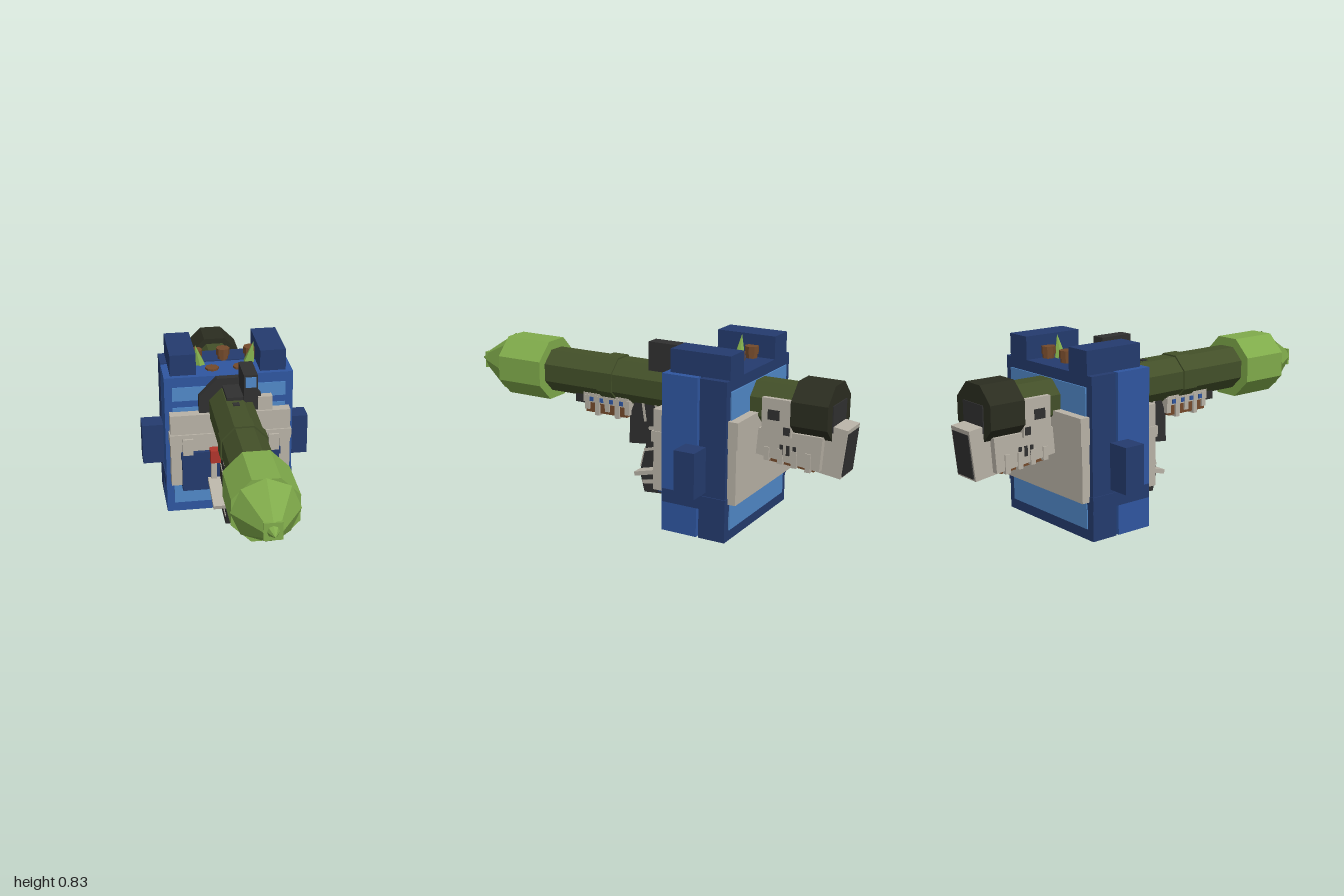
import * as THREE from 'three';

const mat = (name, color) => Object.assign(new THREE.MeshStandardMaterial({ color }), { name });
const BLUE = mat('blue', 0x2f56a0), NAVY = mat('navy', 0x243b6e), SKY = mat('sky blue', 0x5088c8);
const GREY = mat('warm grey', 0xb8b2a6), BLACK = mat('charcoal', 0x303030), OLIVE = mat('olive', 0x435029);
const LIME = mat('leaf green', 0x80ab4b), BROWN = mat('brown', 0x744a2b), RED = mat('red', 0xb0352c);
const CAP = mat('dark olive', 0x2b2d20);

export function createModel() {
  const root = new THREE.Group();
  const AXIS = 0.574; // height of the launcher axis

  const add = (name, geo, material, parent = root) => {
    const g = geo.index ? geo.toNonIndexed() : geo;
    g.computeVertexNormals();
    const mesh = new THREE.Mesh(g, material);
    mesh.name = name;
    parent.add(mesh);
    return mesh;
  };
  // Box given by its limits on each axis
  const box = (name, m, x0, x1, y0, y1, z0, z1) => {
    const mesh = add(name, new THREE.BoxGeometry(x1 - x0, y1 - y0, Math.abs(z1 - z0)), m);
    mesh.position.set((x0 + x1) / 2, (y0 + y1) / 2, (z0 + z1) / 2);
    return mesh;
  };
  // The same box on both sides
  const pair = (name, m, x0, x1, ...r) => {
    box(name + 'Left', m, x0, x1, ...r);
    box(name + 'Right', m, -x1, -x0, ...r);
  };
  // Side outline of [z, y] points, extruded across x
  const side = (name, m, halfWidth, pts) => {
    const shape = new THREE.Shape(pts.map(([z, y]) => new THREE.Vector2(z, y)));
    const geo = new THREE.ExtrudeGeometry(shape, { depth: halfWidth * 2, bevelEnabled: false });
    geo.translate(0, 0, -halfWidth).rotateY(-Math.PI / 2);
    return add(name, geo, m);
  };
  // Thin slanted bar between two [z, y] points
  const bar = (name, m, x0, x1, [za, ya], [zb, yb], t) => {
    const mesh = add(name, new THREE.BoxGeometry(x1 - x0, t, Math.hypot(zb - za, yb - ya)), m);
    mesh.position.set((x0 + x1) / 2, (ya + yb) / 2, (za + zb) / 2);
    mesh.rotation.x = Math.atan2(ya - yb, zb - za);
    return mesh;
  };
  // Octagonal section along the launcher axis, from z0 (radius r0) to z1 (radius r1)
  const tube = (name, m, z0, z1, r0, r1, turn = Math.PI / 8, open = false) => {
    const geo = new THREE.CylinderGeometry(r1, r0, z1 - z0, 8, 1, open);
    geo.rotateY(turn).rotateX(Math.PI / 2);
    const mesh = add(name, geo, m);
    mesh.position.set(0, AXIS, (z0 + z1) / 2);
    return mesh;
  };

  // Launcher barrel and nose
  tube('barrel', OLIVE, -0.9, 0.56, 0.109, 0.109);
  tube('barrelRing', OLIVE, 0.16, 0.24, 0.117, 0.117);
  tube('noseBase', LIME, 0.545, 0.79, 0.155, 0.155);
  tube('noseCone', LIME, 0.79, 0.955, 0.148, 0.042, 0);
  tube('noseTip', LIME, 0.95, 1.0, 0.03, 0.003, 0);
  pair('noseTipBlock', LIME, 0, 0.04, AXIS - 0.04, AXIS + 0.04, 0.945, 0.957);
  box('barrelNotch', BLACK, -0.015, 0.015, 0.672, 0.68, -0.02, 0.01);

  // Rear cap
  tube('rearCap', CAP, -0.93, -0.76, 0.138, 0.138);
  box('capOpening', BLACK, -0.075, 0.075, 0.5, 0.62, -0.935, -0.928);

  // Rear grey housing
  box('rearHousing', GREY, -0.115, 0.115, 0.46, 0.625, -0.76, -0.62);
  side('rearHousingLower', GREY, 0.1, [[-0.6, 0.48], [-0.59, 0.36], [-0.89, 0.325], [-0.9, 0.48]]);
  side('rearHousingBase', BROWN, 0.085, [[-0.63, 0.37], [-0.63, 0.335], [-0.86, 0.315], [-0.86, 0.37]]);
  for (let i = 0; i < 4; i++) {
    const z = -0.63 - i * 0.065;
    box('rearRib', GREY, -0.106, 0.106, 0.34 - i * 0.008, 0.4, z - 0.025, z);
  }
  for (const s of [-1, 1]) {
    const plate = (x, y0, y1, z0, z1) =>
      box('housingVent', BLACK, s * x - 0.003, s * x + 0.003, y0, y1, z0, z1);
    plate(0.115, 0.53, 0.575, -0.705, -0.65);
    plate(0.115, 0.47, 0.505, -0.755, -0.725);
    for (let i = 0; i < 3; i++) plate(0.101, 0.375, 0.42, -0.72 - i * 0.03, -0.705 - i * 0.03);
  }
  side('exhaustBox', GREY, 0.07, [[-0.885, 0.535], [-0.865, 0.315], [-0.975, 0.3], [-1, 0.52]]);
  bar('exhaustPlate', BLACK, -0.06, 0.06, [-0.997, 0.502], [-0.978, 0.31], 0.008);

  // Front hand guard
  box('guardCore', BROWN, -0.065, 0.065, 0.405, 0.48, 0.1, 0.33);
  box('guardTop', GREY, -0.072, 0.072, 0.455, 0.5, 0.09, 0.34);
  box('guardNose', BLACK, -0.05, 0.05, 0.44, 0.49, 0.33, 0.4);
  for (let i = 0; i < 5; i++) {
    const z = 0.33 - i * 0.056;
    box('guardRib', GREY, -0.075, 0.075, 0.42 - (i % 2) * 0.025, 0.49, z - 0.024, z);
    if (i < 4) pair('guardStud', BLUE, 0.071, 0.077, 0.462, 0.482, z - 0.046, z - 0.027);
  }

  // Grip
  side('gripUpper', BLACK, 0.052, [[0.09, 0.42], [0.06, 0.5], [-0.17, 0.5], [-0.16, 0.39],
    [-0.02, 0.37], [0, 0.29], [0.095, 0.28]]);
  side('gripLower', BLACK, 0.055, [[-0.02, 0.375], [-0.16, 0.4], [-0.17, 0.235], [-0.165, 0.065],
    [0.01, 0.05], [0.035, 0.145]]);
  bar('gripFrontPlate', GREY, -0.055, 0.055, [0.03, 0.175], [0.012, 0.25], 0.009);
  bar('gripBand', GREY, -0.058, 0.058, [0.01, 0.26], [-0.165, 0.31], 0.014);
  bar('gripBand', GREY, -0.058, 0.058, [0.02, 0.1], [-0.165, 0.13], 0.018);
  bar('gripBand', GREY, -0.058, 0.058, [-0.015, 0.37], [-0.165, 0.395], 0.014);
  for (const z of [0.02, -0.05, -0.12]) bar('gripRib', GREY, -0.056, 0.056, [z, 0.5], [z - 0.015, 0.4], 0.012);
  for (const s of [-1, 1]) {
    const c = s * 0.085;
    bar('gripWing', GREY, c - 0.03, c + 0.03, [0.03, 0.155], [-0.17, 0.205], 0.02);
  }
  pair('wingStrut', GREY, 0.072, 0.1, 0.19, 0.31, -0.19, -0.155);
  pair('redCatch', RED, 0.055, 0.105, 0.31, 0.375, -0.18, -0.13);

  // Sight and collar
  box('sight', BLACK, 0.042, 0.107, 0.665, 0.8, -0.21, -0.045);
  box('sightLens', SKY, 0.05, 0.1, 0.74, 0.79, -0.046, -0.039);
  box('sightRail', BLACK, -0.037, 0.045, 0.66, 0.69, -0.24, -0.05);
  tube('collar', BLACK, -0.236, -0.2, 0.162, 0.162);

  // Pack shells
  box('packFront', BLUE, -0.312, 0.312, 0, 0.725, -0.41, -0.235);
  box('packCore', NAVY, -0.29, 0.29, 0.03, 0.71, -0.43, -0.4);
  box('packBack', NAVY, -0.312, 0.312, 0, 0.725, -0.55, -0.422);
  box('packBand', NAVY, -0.317, 0.317, 0.138, 0.2, -0.553, -0.24);
  box('frontPanelLower', SKY, -0.275, 0.275, 0.05, 0.57, -0.237, -0.23);
  box('frontPanelUpper', SKY, -0.275, 0.275, 0.605, 0.675, -0.237, -0.23);
  box('backPanel', SKY, -0.275, 0.275, 0.05, 0.675, -0.556, -0.548);
  pair('topBlock', NAVY, 0.155, 0.28, 0.72, 0.83, -0.55, -0.26);
  pair('sidePod', NAVY, 0.31, 0.417, 0.217, 0.425, -0.455, -0.355);

  // Grey padding, front and back
  box('frontPadUpper', GREY, -0.292, 0.292, 0.45, 0.55, -0.235, -0.18);
  box('frontPadMiddle', GREY, -0.297, 0.297, 0.4, 0.45, -0.235, -0.172);
  pair('frontPadSide', GREY, 0.24, 0.292, 0.175, 0.4, -0.235, -0.18);
  box('frontPadInner', GREY, -0.25, 0.25, 0.34, 0.41, -0.235, -0.185);
  box('frontPadTab', GREY, 0.135, 0.205, 0.54, 0.62, -0.235, -0.19);
  box('backPadUpper', GREY, -0.295, 0.295, 0.43, 0.55, -0.597, -0.55);
  box('backPadLower', GREY, -0.292, 0.292, 0.175, 0.43, -0.59, -0.55);

  // Front pocket with straps
  box('pocket', NAVY, -0.238, 0.238, 0.145, 0.35, -0.235, -0.172);
  box('pocketFlap', NAVY, -0.244, 0.244, 0.32, 0.356, -0.235, -0.165);
  pair('pocketStrap', GREY, 0.185, 0.235, 0.345, 0.43, -0.2, -0.16);

  // Bottles and spikes standing in the top
  for (const [x, z, top] of [[-0.135, -0.445, 0.78], [0, -0.445, 0.78], [0.135, -0.445, 0.78],
    [-0.07, -0.32, 0.735], [0.065, -0.32, 0.735]]) {
    add('bottleCap', new THREE.CylinderGeometry(0.033, 0.033, 0.035, 8), BROWN).position.set(x, top - 0.0175, z);
    add('bottleNeck', new THREE.CylinderGeometry(0.027, 0.027, 0.08, 8), BROWN).position.set(x, top - 0.065, z);
  }
  for (const s of [-1, 1]) {
    const spike = add('spike', new THREE.ConeGeometry(0.035, 0.13, 6), LIME);
    spike.position.set(s * 0.13, 0.762, -0.39);
    spike.rotation.z = -s * 0.2;
  }
  return root;
}
